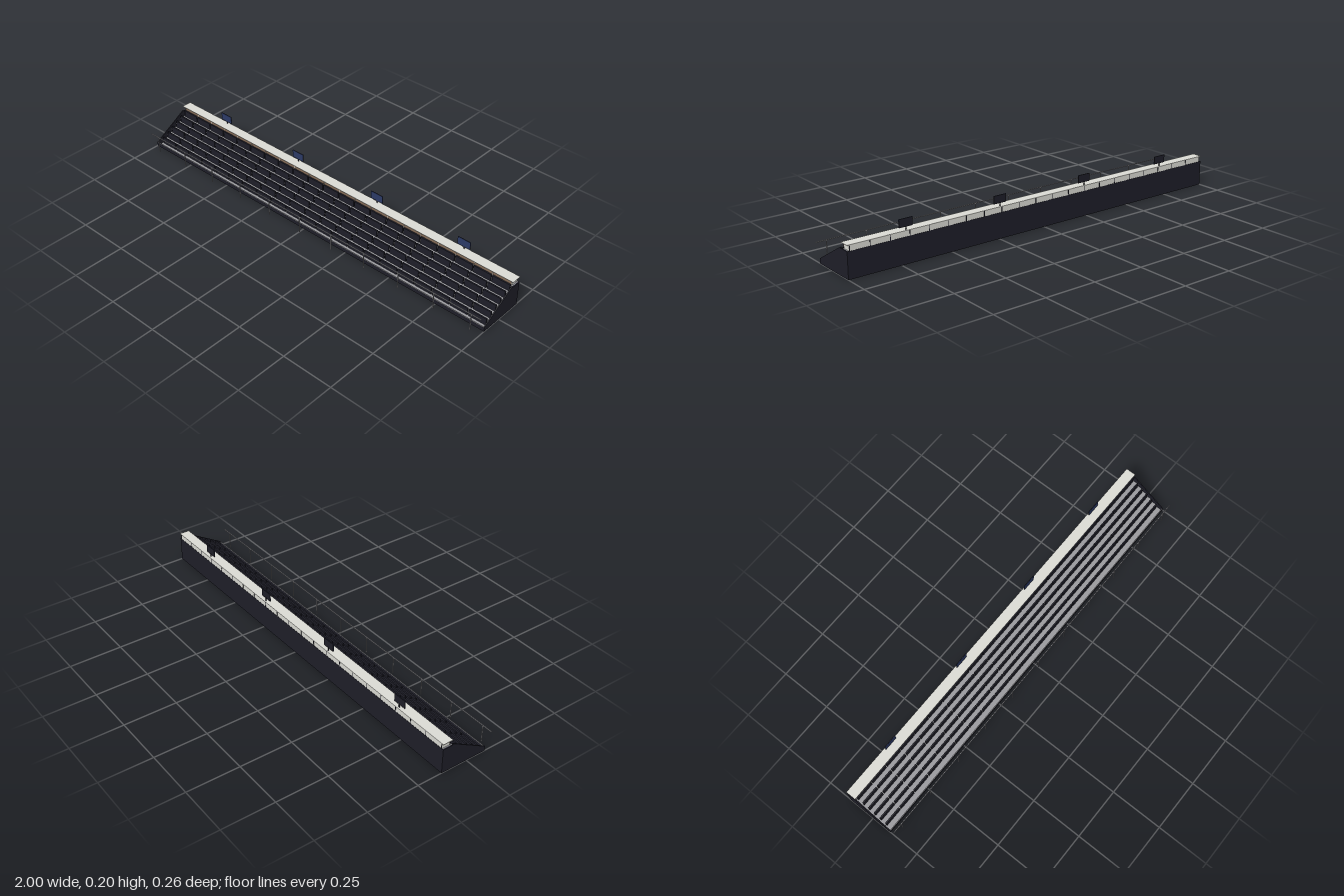
import * as THREE from 'three';

const mat = (name, color) => Object.assign(new THREE.MeshStandardMaterial({ color }), { name });

export function createModel() {
  const dark = mat('dark cladding', 0x1e1e28);
  const concrete = mat('concrete', 0x9a9a9e);
  const pale = mat('pale panel', 0xdcdcd5);
  const brown = mat('brown glazing', 0x846c58);
  const navy = mat('navy sign', 0x2c3a66);
  const steel = mat('steel', 0xa0a0a5);

  const model = new THREE.Group();
  model.name = 'grandstand';

  // Box given by its min and max corners
  function box(parent, name, material, x0, x1, y0, y1, z0, z1) {
    const mesh = new THREE.Mesh(new THREE.BoxGeometry(x1 - x0, y1 - y0, z1 - z0), material);
    mesh.position.set((x0 + x1) / 2, (y0 + y1) / 2, (z0 + z1) / 2);
    mesh.name = name;
    parent.add(mesh);
  }
  function group(name) {
    const g = new THREE.Group();
    g.name = name;
    model.add(g);
    return g;
  }

  const rows = 6, depth = 0.03, rise = 0.0175, frontZ = 0.1, firstY = 0.0045;
  const blocks = 21, pitch = 1.98 / blocks;

  // Open-bottomed terrace: thin treads and risers, tall seat backs in front of each riser
  const terrace = group('terrace');
  const seats = group('seats');
  for (let i = 0; i < rows; i++) {
    const z = frontZ - i * depth, back = z - depth, y = firstY + i * rise;
    box(terrace, 'tread', concrete, -0.995, 0.995, y - 0.002, y, back - 0.009, z - 0.002);
    box(terrace, 'riser', concrete, -0.995, 0.995, y, y + rise - 0.002, back - 0.009, back - 0.007);
    for (let b = 0; b < blocks; b++) {
      const x = -0.99 + (b + 0.5) * pitch, w = pitch / 2 - 0.003;
      box(seats, 'seatBack', dark, x - w, x + w, y + 0.001, y + 2 * rise, back - 0.007, back);
    }
  }
  box(terrace, 'frontWall', dark, -0.995, 0.995, 0, 0.0195, 0.096, 0.1);
  box(terrace, 'frontCoping', concrete, -0.995, 0.995, 0.0195, 0.0215, 0.096, 0.1);
  box(terrace, 'cabinDeck', concrete, -0.995, 0.995, 0.1075, 0.12, -0.127, -0.087);
  box(terrace, 'backWall', dark, -0.995, 0.995, 0, 0.12, -0.13, -0.127);

  // Sloping end walls
  const profile = new THREE.Shape([[-0.1, 0], [-0.1, 0.022], [0.08, 0.127], [0.08, 0.12], [0.13, 0.12], [0.13, 0]]
    .map(([a, b]) => new THREE.Vector2(a, b)));
  for (const x of [-1, 0.995]) {
    const wall = new THREE.Mesh(new THREE.ExtrudeGeometry(profile, { depth: 0.005, bevelEnabled: false }), dark);
    wall.rotation.y = Math.PI / 2;
    wall.position.x = x;
    wall.name = 'endWall';
    terrace.add(wall);
  }

  // Long cabin along the top, glazed at the front, panelled at the back
  const cabin = group('cabin');
  box(cabin, 'cabinBody', pale, -0.99, 0.99, 0.12, 0.145, -0.129, -0.09);
  box(cabin, 'cabinRoof', pale, -1, 1, 0.145, 0.147, -0.131, -0.081);
  box(cabin, 'glazing', brown, -0.99, 0.99, 0.122, 0.145, -0.09, -0.088);
  for (let b = 0; b <= blocks; b++) {
    const x = -0.988 + b * 1.976 / blocks;
    box(cabin, 'backJoint', dark, x - 0.0015, x + 0.0015, 0.12, 0.145, -0.13, -0.129);
    box(cabin, 'mullion', pale, x - 0.001, x + 0.001, 0.122, 0.145, -0.088, -0.087);
  }

  // Signs on short posts above the roof
  const signs = group('signs');
  for (const x of [-0.72, -0.24, 0.24, 0.72]) {
    box(signs, 'signPost', dark, x - 0.002, x + 0.002, 0.147, 0.165, -0.124, -0.121);
    box(signs, 'signPanel', dark, x - 0.033, x + 0.033, 0.16, 0.197, -0.122, -0.119);
    box(signs, 'signFace', navy, x - 0.033, x + 0.033, 0.16, 0.197, -0.119, -0.118);
  }

  // Railing in front of the stand
  const railing = group('railing');
  box(railing, 'rail', steel, -1, 1, 0.081, 0.085, 0.127, 0.131);
  for (let i = 0; i < 11; i++) {
    const x = -0.95 + i * 0.19;
    box(railing, 'railPost', steel, x - 0.002, x + 0.002, 0, 0.081, 0.1275, 0.1305);
  }
  return model;
}
